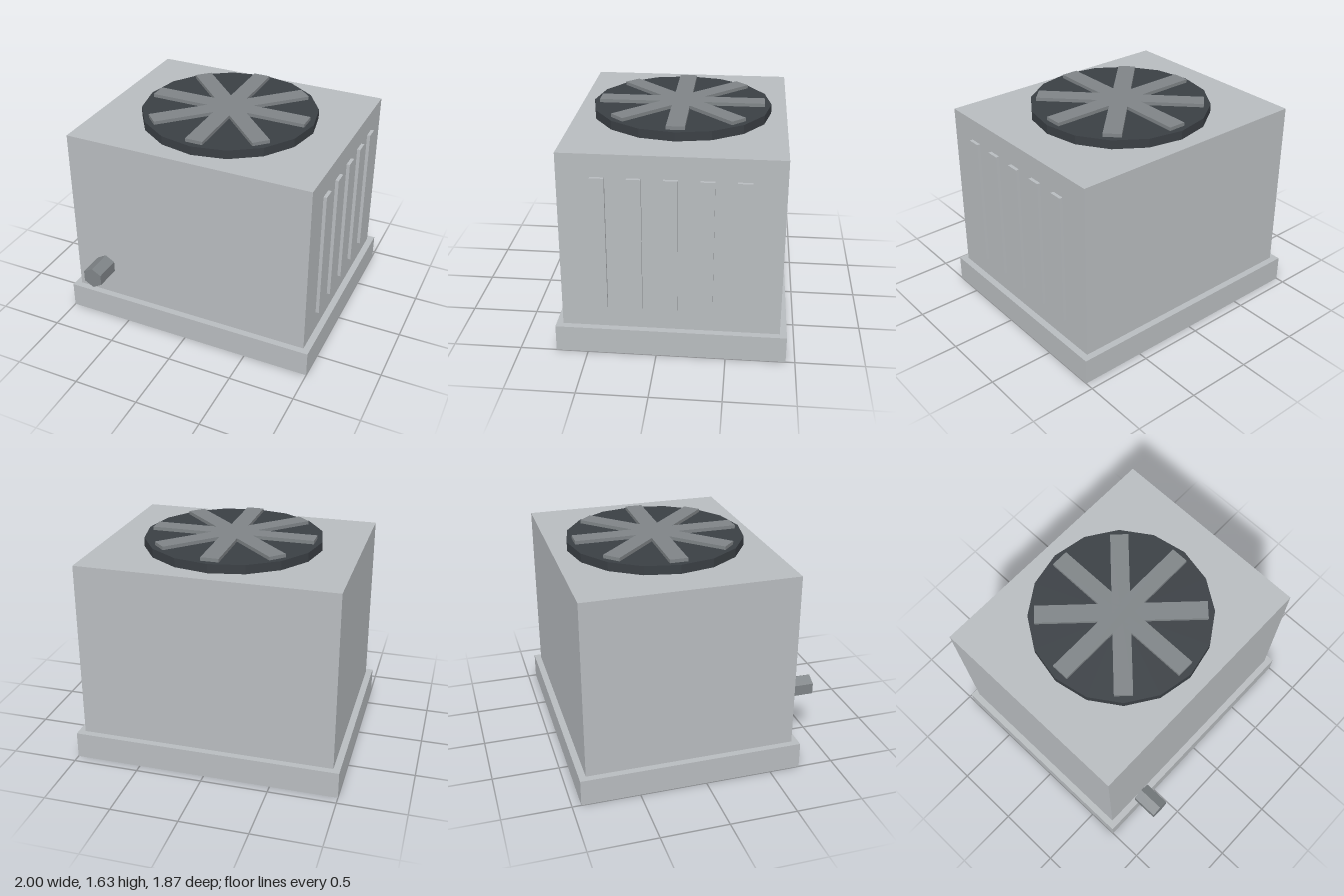
import * as THREE from 'three';

export function createModel() {
  const model = new THREE.Group();
  model.name = 'airConditionerUnit';

  const material = (name, color) => {
    const m = new THREE.MeshStandardMaterial({ color, flatShading: true });
    m.name = name;
    return m;
  };
  const casing = material('casing grey', 0xb8bcbf);
  const metal = material('metal grey', 0x7f8487);
  const dark = material('fan dark', 0x3a3f44);

  const add = (name, geometry, mat, x, y, z, parent = model) => {
    const mesh = new THREE.Mesh(geometry, mat);
    mesh.name = name;
    mesh.position.set(x, y, z);
    parent.add(mesh);
    return mesh;
  };

  const centreZ = -0.1;

  // Plinth and cabinet
  add('base', new THREE.BoxGeometry(2, 0.2, 1.667), casing, 0, 0.1, centreZ);
  add('cabinet', new THREE.BoxGeometry(1.9, 1.333, 1.567), casing, 0, 0.867, centreZ);

  // Fan housing with four crossed bars making eight spokes
  const fan = new THREE.Group();
  fan.name = 'fan';
  fan.position.set(0, 1.533, centreZ);
  model.add(fan);
  add('fanDisc', new THREE.CylinderGeometry(0.667, 0.667, 0.067, 16), dark, 0, 0.0335, 0, fan);
  const bar = new THREE.BoxGeometry(1.233, 0.04, 0.133);
  for (let i = 0; i < 4; i++) {
    add('fanBar', bar, metal, 0, 0.073, 0, fan).rotation.y = (i * Math.PI) / 4;
  }

  // Vertical louvres on the side
  const louvre = new THREE.BoxGeometry(0.05, 1, 0.1);
  for (let i = -2; i <= 2; i++) {
    add('louvre', louvre, casing, 0.95, 0.867, centreZ + i * 0.25);
  }

  // Hexagonal pipe stub in front of the cabinet
  const pipe = new THREE.CylinderGeometry(0.083, 0.083, 0.2, 6).rotateX(Math.PI / 2);
  add('pipe', pipe, metal, -0.667, 0.5, 0.833);

  return model;
}
